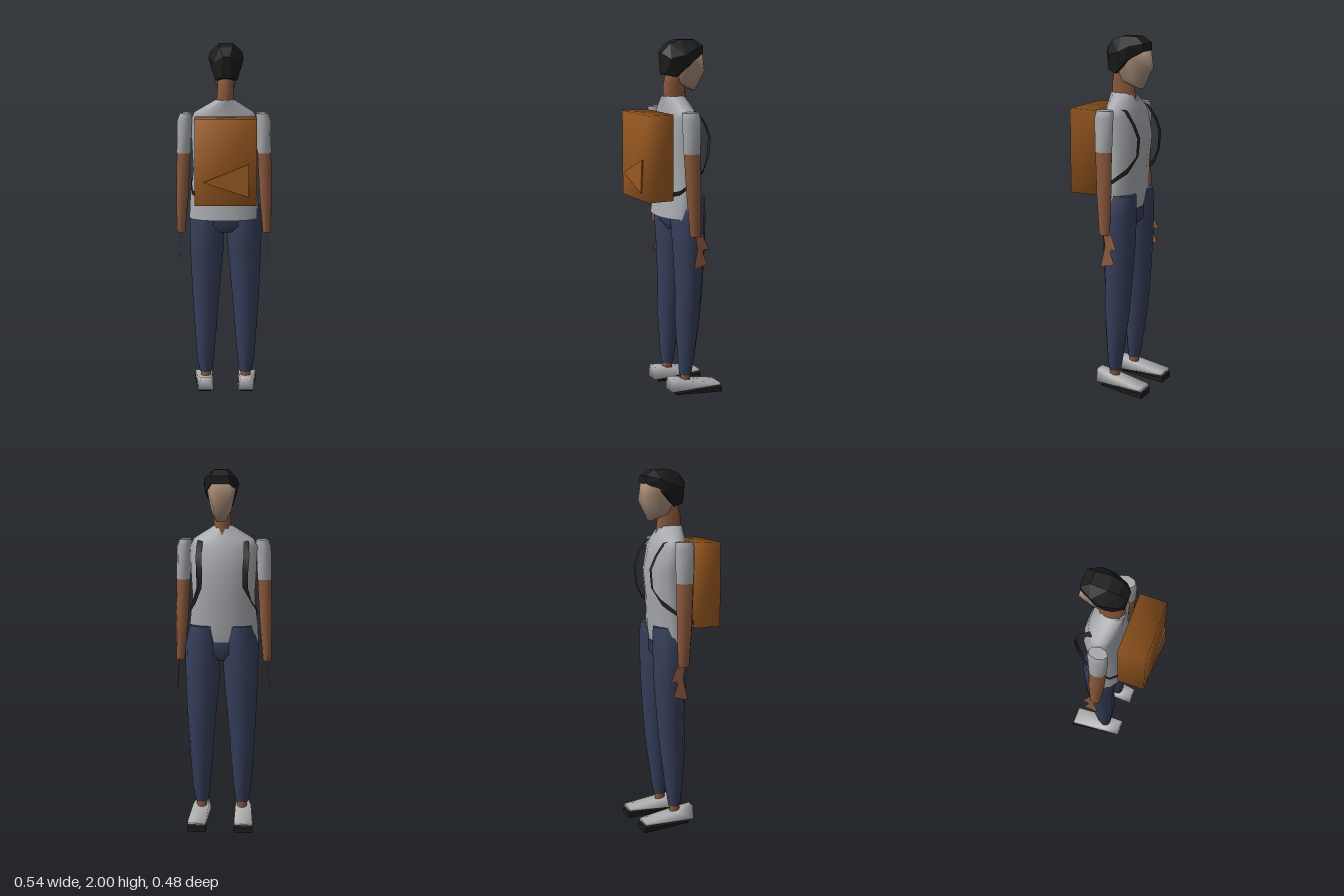
import * as THREE from 'three';
import { mergeVertices } from 'three/addons/utils/BufferGeometryUtils.js';
import { ConvexGeometry } from 'three/addons/geometries/ConvexGeometry.js';

const mat = (name, color, extra = {}) => {
  const m = new THREE.MeshStandardMaterial({ color, ...extra });
  m.name = name;
  return m;
};

// Closed stack of elliptical rings; each ring is [y, centreX, radiusX, backZ, frontZ]
function loft(rings, sides) {
  const pos = [], idx = [];
  const ring = ([y, cx, rx, zb, zf]) => {
    for (let j = 0; j < sides; j++) {
      const a = (j / sides) * Math.PI * 2;
      pos.push(cx + rx * Math.cos(a), y, (zb + zf) / 2 + ((zb - zf) / 2) * Math.sin(a));
    }
  };
  rings.forEach(ring);
  for (let i = 0; i < rings.length - 1; i++) {
    for (let j = 0; j < sides; j++) {
      const k = (j + 1) % sides;
      const a = i * sides + j, b = i * sides + k, c = a + sides, d = b + sides;
      idx.push(a, c, b, b, c, d);
    }
  }
  // caps have their own vertices so their rims stay sharp
  [rings[0], rings[rings.length - 1]].forEach((r, top) => {
    const base = pos.length / 3;
    ring(r);
    for (let j = 1; j < sides - 1; j++) {
      if (top) idx.push(base, base + j + 1, base + j);
      else idx.push(base, base + j, base + j + 1);
    }
  });
  const g = new THREE.BufferGeometry();
  g.setAttribute('position', new THREE.Float32BufferAttribute(pos, 3));
  g.setIndex(idx);
  g.computeVertexNormals();
  return g;
}

// Share corners so that shading blends across the edges
function soften(g) {
  g.deleteAttribute('normal');
  g.deleteAttribute('uv');
  const m = mergeVertices(g, 1e-4);
  m.computeVertexNormals();
  return m;
}

const hull = (pts) => new ConvexGeometry(pts.map((p) => new THREE.Vector3(...p)));
// Hull from points given once and mirrored about the plane x = cx
const mirrorHull = (pts, cx) =>
  hull(pts.flatMap(([x, y, z]) => [[cx + x, y, z], [cx - x, y, z]]));

// Open strip; each entry is [x, y, z, halfWidthX, halfWidthY]
function ribbon(path) {
  const pos = [], idx = [];
  path.forEach(([x, y, z, wx, wy], i) => {
    pos.push(x - wx, y - wy, z, x + wx, y + wy, z);
    if (i) {
      const b = i * 2;
      idx.push(b - 2, b - 1, b, b - 1, b + 1, b);
    }
  });
  const g = new THREE.BufferGeometry();
  g.setAttribute('position', new THREE.Float32BufferAttribute(pos, 3));
  g.setIndex(idx);
  g.computeVertexNormals();
  return g;
}

export function createModel() {
  const model = new THREE.Group();
  const shirt = mat('shirt grey', 0xa6a8ac);
  const denim = mat('trouser blue', 0x363e5a);
  const skin = mat('skin brown', 0x8a583c);
  const palm = mat('hand skin', 0x8a583c, { side: THREE.DoubleSide });
  const faceTone = mat('face tan', 0xa48a76);
  const black = mat('hair black', 0x1c1c1c);
  const strapBlack = mat('strap black', 0x242424, { side: THREE.DoubleSide });
  const leather = mat('pack brown', 0x965720);
  const shoeGrey = mat('shoe grey', 0xb0b0b2);

  const add = (name, geo, material) => {
    const m = new THREE.Mesh(geo, material);
    m.name = name;
    model.add(m);
    return m;
  };

  // Shirt and pelvis
  add('shirt', loft([
    [1.03, 0, 0.195, 0.09, -0.12],
    [1.14, 0, 0.19, 0.07, -0.138],
    [1.3, 0, 0.172, 0.06, -0.145],
    [1.45, 0, 0.18, 0.06, -0.16],
    [1.58, 0, 0.185, 0.055, -0.13],
    [1.625, 0, 0.165, 0.05, -0.11],
    [1.695, 0.005, 0.05, 0.055, -0.08],
  ], 14), shirt);
  add('pelvis', loft([
    [0.95, 0.01, 0.05, 0.02, -0.09],
    [0.99, 0.01, 0.14, 0.05, -0.13],
    [1.06, 0.01, 0.18, 0.05, -0.13],
  ], 12), denim);

  // Neck, face and hair
  add('neck', loft([
    [1.64, 0.005, 0.05, 0.05, -0.1],
    [1.75, 0.008, 0.045, 0.05, -0.085],
    [1.85, 0.01, 0.045, 0.03, -0.1],
  ], 8), skin);
  add('face', soften(mirrorHull([
    [0.022, 1.72, -0.135], [0.055, 1.78, -0.09], [0.045, 1.83, -0.182],
    [0.048, 1.93, -0.165], [0.08, 1.9, -0.09], [0.045, 1.76, -0.04], [0.055, 1.9, 0.02],
  ], 0.01)), faceTone);
  add('hair', mirrorHull([
    [0.04, 2.0, -0.03], [0.035, 2.0, -0.12], [0.05, 1.965, -0.168], [0.05, 1.925, -0.168],
    [0.09, 1.95, -0.1], [0.097, 1.92, -0.04], [0.085, 1.87, -0.075], [0.06, 1.8, -0.005],
    [0.03, 1.815, 0.055], [0.07, 1.9, 0.035], [0.02, 1.93, 0.07], [0.035, 1.98, 0.025],
  ], 0.012), black);

  // Backpack with a thin triangular pocket flap
  const pack = new THREE.BoxGeometry(0.335, 0.47, 0.15);
  pack.translate(0.0075, 1.375, 0.145);
  add('backpack', soften(pack), leather);
  add('pocketFlap', hull([
    [-0.115, 1.27, 0.236], [0.132, 1.37, 0.237], [0.132, 1.19, 0.245],
    [-0.115, 1.27, 0.232], [0.132, 1.37, 0.229], [0.132, 1.19, 0.237],
  ]), leather);

  for (const s of [-1, 1]) {
    const side = s > 0 ? 'left' : 'right';
    const lx = (x) => s * x + 0.01;

    // Trouser leg and ankle
    add(side + 'TrouserLeg', loft([
      [0.12, lx(0.115), 0.036, 0.003, -0.066],
      [0.2, lx(0.117), 0.049, 0.01, -0.08],
      [0.45, lx(0.115), 0.068, 0.027, -0.115],
      [0.62, lx(0.113), 0.08, 0.024, -0.13],
      [0.85, lx(0.107), 0.095, 0.035, -0.145],
      [1.03, lx(0.105), 0.1, 0.048, -0.15],
      [1.15, lx(0.1), 0.075, 0.02, -0.148],
    ], 10), denim);
    add(side + 'Ankle', loft([
      [0.06, lx(0.115), 0.028, 0.0, -0.06],
      [0.14, lx(0.115), 0.03, -0.002, -0.062],
    ], 8), skin);

    // Wedge shoe above a separate thin sole
    const cx = lx(0.122);
    const toe = s * 0.008;
    add(side + 'Shoe', soften(hull([-1, 1].flatMap((e) => [
      [cx + e * 0.03 - toe, 0.11, 0.07], [cx + e * 0.045 - toe, 0.035, 0.07],
      [cx + e * 0.045, 0.092, -0.03],
      [cx + e * 0.052 + toe, 0.055, -0.225], [cx + e * 0.052 + toe, 0.04, -0.23],
    ]))), shoeGrey);
    add(side + 'Sole', hull([-1, 1].flatMap((e) => [
      [cx + e * 0.035, 0.024, 0.04], [cx + e * 0.035, 0.016, 0.04],
      [cx + e * 0.053 + toe, 0.03, -0.235], [cx + e * 0.053 + toe, 0, -0.235],
    ])), black);

    // Sleeve and forearm
    add(side + 'Sleeve', loft([
      [1.4, s * 0.225, 0.039, 0.033, -0.07],
      [1.58, s * 0.219, 0.041, 0.04, -0.075],
      [1.62, s * 0.21, 0.034, 0.035, -0.07],
    ], 8), shirt);
    add(side + 'Forearm', loft([
      [0.945, s * 0.243, 0.023, 0.0, -0.065],
      [1.15, s * 0.235, 0.034, 0.018, -0.07],
      [1.4, s * 0.225, 0.038, 0.032, -0.069],
    ], 8), skin);

    // Flat hand with a pointed thumb
    const hand = new THREE.Shape([
      [0.025, 0.96], [0.07, 0.96], [0.112, 0.865], [0.082, 0.87],
      [0.072, 0.855], [0.1, 0.785], [0.015, 0.765], [0.04, 0.88],
    ].map((p) => new THREE.Vector2(...p)));
    const h = new THREE.ShapeGeometry(hand).rotateY(Math.PI / 2);
    const p = h.attributes.position;
    for (let i = 0; i < p.count; i++) p.setX(i, s * (0.247 + (0.96 - p.getY(i)) * 0.06));
    h.computeVertexNormals();
    add(side + 'Hand', h, palm);

    // Strap over the chest and back under the arm
    add(side + 'Strap', ribbon([
      [s * 0.12, 1.635, -0.03, 0.015, 0],
      [s * 0.125, 1.61, -0.1, 0.015, 0],
      [s * 0.13, 1.54, -0.15, 0.016, 0],
      [s * 0.125, 1.47, -0.178, 0.016, 0],
      [s * 0.125, 1.37, -0.17, 0.014, 0],
      [s * 0.155, 1.29, -0.125, 0.006, 0.014],
      [s * 0.186, 1.23, -0.05, 0.002, 0.012],
      [s * 0.175, 1.18, 0.03, 0.002, 0.012],
      [s * 0.13, 1.165, 0.075, 0.002, 0.012],
    ]), strapBlack);
  }
  return model;
}
